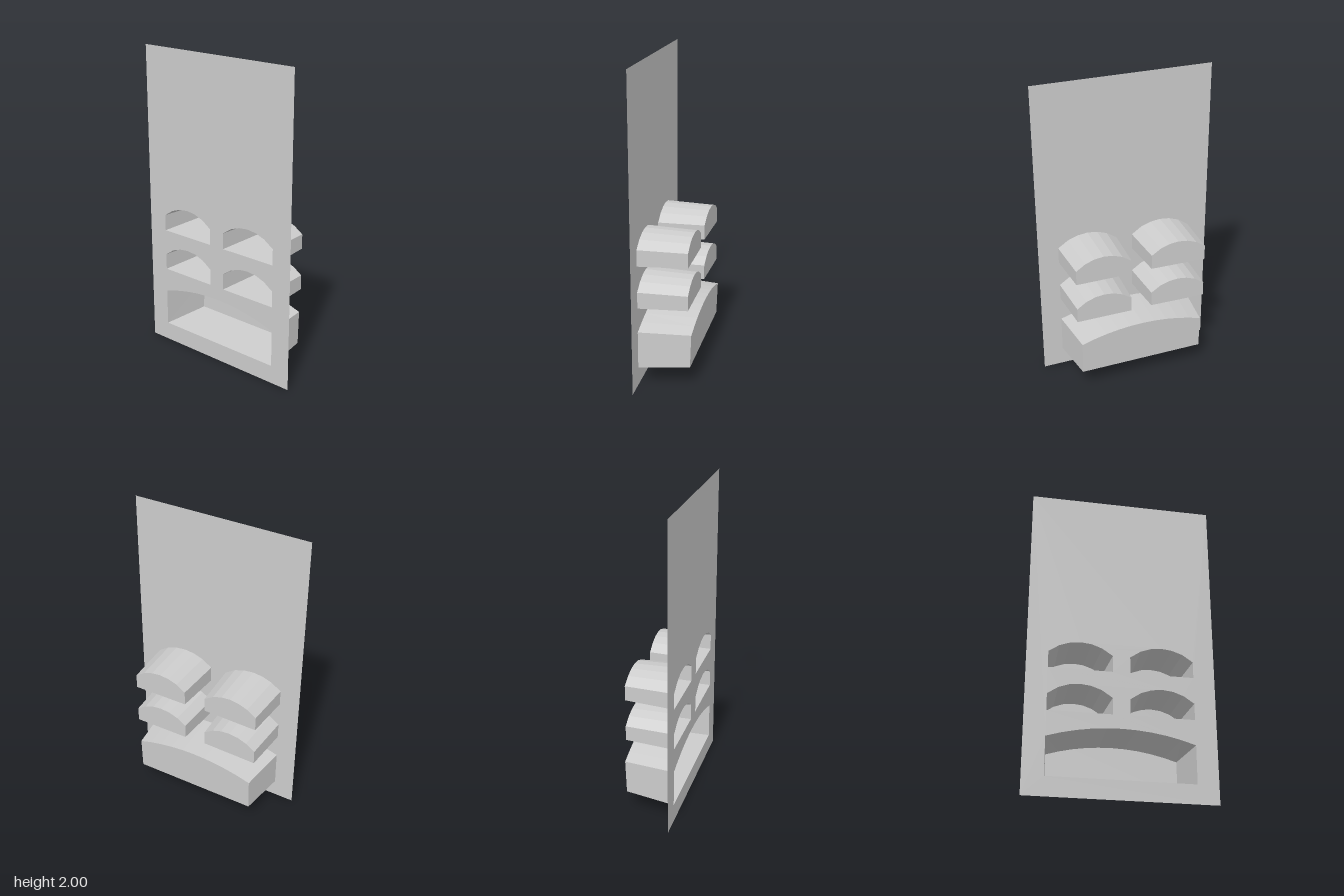
import * as THREE from 'three';

const WALL_X = -0.163;

// Arched outline, counter-clockwise as seen from +x; u runs along -z
function archOutline(u0, u1, bottom, shoulder, apex, segments) {
  const points = [new THREE.Vector2(u0, bottom), new THREE.Vector2(u1, bottom)];
  const half = (u1 - u0) / 2, rise = apex - shoulder, mid = (u0 + u1) / 2;
  const radius = (half * half + rise * rise) / (2 * rise);
  for (let i = 0; i <= segments; i++) {
    const d = half * (1 - 2 * i / segments);
    points.push(new THREE.Vector2(mid + d, apex - radius + Math.sqrt(radius * radius - d * d)));
  }
  return points;
}

// Tapered pocket: side walls lofted from mouth to end, plus the closed end
function pocketGeometry(mouth, end, endX) {
  const positions = [];
  const put = (p, x) => positions.push(x, p.y, -p.x);
  const n = mouth.length;
  for (let i = 0; i < n; i++) {
    const a = mouth[i], b = mouth[(i + 1) % n], c = end[(i + 1) % n], d = end[i];
    put(a, WALL_X); put(b, WALL_X); put(c, endX(c));
    put(a, WALL_X); put(c, endX(c)); put(d, endX(d));
  }
  for (let i = 1; i < n - 1; i++) {
    for (const p of [end[0], end[i], end[i + 1]]) put(p, endX(p));
  }
  const geometry = new THREE.BufferGeometry();
  geometry.setAttribute('position', new THREE.Float32BufferAttribute(positions, 3));
  geometry.computeVertexNormals();
  return geometry;
}

export function createModel() {
  const model = new THREE.Group();
  model.name = 'archedPocketWall';
  const grey = new THREE.MeshStandardMaterial({ color: 0xcccccc, side: THREE.DoubleSide, flatShading: true });
  grey.name = 'plain grey';

  // One wide pocket below, two rows of paired small pockets above
  const pockets = [{
    name: 'widePocket',
    mouth: archOutline(-0.45, 0.45, 0.12, 0.36, 0.433, 10),
    end: archOutline(-0.412, 0.412, 0.138, 0.357, 0.425, 10),
    endX: (p) => 0.157 + (p.y - 0.138) * 0.035,
  }];
  for (const [row, y] of [['lower', 0.52], ['upper', 0.795]]) {
    for (const side of [-1, 1]) {
      const span = (near, far) => (side > 0 ? [near, far] : [-far, -near]);
      pockets.push({
        name: row + (side > 0 ? 'BackPocket' : 'FrontPocket'),
        mouth: archOutline(...span(0.054, 0.449), y, y + 0.105, y + 0.18, 6),
        end: archOutline(...span(0.07, 0.433), y + 0.009, y + 0.104, y + 0.173, 6),
        endX: (p) => (side > 0 ? 0.138 + p.x * 0.025 : 0.148),
      });
    }
  }

  // Thin upright wall pierced by the pocket mouths
  const outline = new THREE.Shape([[-0.582, 0], [0.582, 0], [0.582, 2], [-0.582, 2]]
    .map(([u, y]) => new THREE.Vector2(u, y)));
  for (const pocket of pockets) outline.holes.push(new THREE.Path(pocket.mouth));
  const wall = new THREE.Mesh(new THREE.ShapeGeometry(outline), grey);
  wall.geometry.rotateY(Math.PI / 2).translate(WALL_X, 0, 0);
  wall.name = 'wall';
  model.add(wall);

  for (const { name, mouth, end, endX } of pockets) {
    const mesh = new THREE.Mesh(pocketGeometry(mouth, end, endX), grey);
    mesh.name = name;
    model.add(mesh);
  }
  return model;
}
